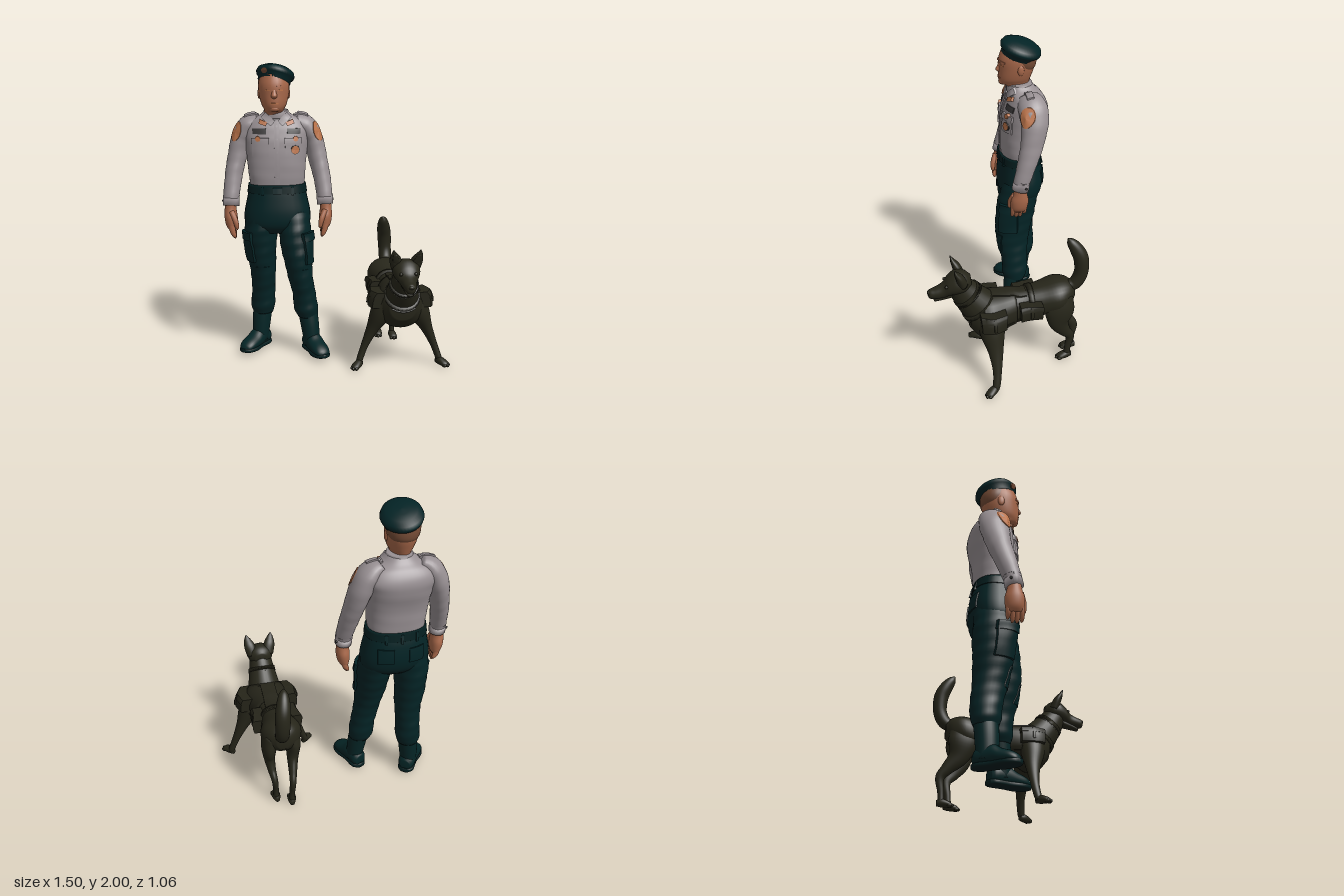
import * as THREE from 'three';

const V = (x, y, z) => new THREE.Vector3(x, y, z);
const UP = V(0, 1, 0), DOWN = V(0, -1, 0), Z = V(0, 0, 1);
const mat = (name, color) => Object.assign(new THREE.MeshStandardMaterial({ color }), { name });

// Smooth skin through elliptical sections [x, y, z, halfWidth, halfDepth]; dir must follow the path
function loft(sections, { p = 2, dir = null, n = 28, steps = 5, wrinkle = 0 } = {}) {
  const path = new THREE.CatmullRomCurve3(sections.map(s => V(s[0], s[1], s[2])), false, 'catmullrom', 0.5);
  const size = new THREE.CatmullRomCurve3(sections.map(s => V(s[3], s[4] ?? s[3], 0)), false, 'catmullrom', 0.5);
  const rows = (sections.length - 1) * steps, pos = [], idx = [];
  const pw = v => Math.sign(v) * Math.abs(v) ** (2 / p);
  for (let i = 0; i <= rows; i++) {
    const c = path.getPoint(i / rows), r = size.getPoint(i / rows);
    const t = dir ?? path.getTangent(i / rows);
    const u = V(1, 0, 0).addScaledVector(t, -t.x).normalize(), v = t.clone().cross(u);
    for (let j = 0; j < n; j++) {
      const a = (j / n) * Math.PI * 2;
      const k = 1 + wrinkle * Math.sin(c.y * 55 + a * 2) * Math.cos(c.y * 23 - a);
      const q = c.clone().addScaledVector(u, pw(Math.cos(a)) * Math.max(r.x, 0.002) * k)
        .addScaledVector(v, pw(Math.sin(a)) * Math.max(r.y, 0.002) * k);
      pos.push(q.x, q.y, q.z);
      if (i < rows) {
        const A = i * n + j, B = i * n + (j + 1) % n;
        idx.push(A, B, B + n, A, B + n, A + n);
      }
    }
  }
  const end = (rows + 1) * n;
  for (const t of [0, 1]) pos.push(...path.getPoint(t).toArray());
  for (let j = 0; j < n; j++) {
    const k = (j + 1) % n;
    idx.push(end, k, j, end + 1, rows * n + j, rows * n + k);
  }
  const g = new THREE.BufferGeometry();
  g.setAttribute('position', new THREE.Float32BufferAttribute(pos, 3));
  g.setIndex(idx);
  g.computeVertexNormals();
  return g;
}

// Bends a flat-backed geometry (facing +z) onto the surface of other meshes
function wrap(targets, geo, origin, rx = 0, ry = 0, rz = 0) {
  const q = new THREE.Quaternion().setFromEuler(new THREE.Euler(rx, ry, 0, 'YXZ'));
  const fwd = V(0, 0, 1).applyQuaternion(q), ray = new THREE.Raycaster();
  const p = geo.rotateZ(rz).attributes.position;
  for (let i = 0; i < p.count; i++) {
    const base = V(p.getX(i), p.getY(i), 0).applyQuaternion(q).add(origin);
    ray.set(base.clone().addScaledVector(fwd, 0.6), fwd.clone().negate());
    const hit = ray.intersectObjects(targets)[0];
    const w = (hit ? hit.point : base).clone().addScaledVector(fwd, p.getZ(i));
    p.setXYZ(i, w.x, w.y, w.z);
  }
  geo.computeVertexNormals();
  return geo;
}
const plate = (w, h, d) => new THREE.BoxGeometry(w, h, d, 6, 6, 1).translate(0, 0, d / 2 - 0.004);
const disc = (r, d) => new THREE.CylinderGeometry(r, r, d, 20).rotateX(Math.PI / 2).translate(0, 0, d / 2 - 0.003);
const ball = (r, x, y, z, sx = 1, sy = 1, sz = 1) => new THREE.SphereGeometry(r, 16, 12).scale(sx, sy, sz).translate(x, y, z);

export function createModel() {
  const root = new THREE.Group();
  const shirt = mat('shirt grey', 0x989093), skin = mat('skin', 0xa8684a), patch = mat('patch orange', 0xbc744a),
    green = mat('trouser green', 0x032325), boot = mat('boot green', 0x042526), dark = mat('belt green', 0x031e1f),
    hair = mat('hair brown', 0x774d37), ribbon = mat('ribbon grey', 0x3c3a3a),
    fur = mat('dog olive', 0x27261a), gear = mat('harness olive', 0x252419);
  const man = new THREE.Group(), dog = new THREE.Group();
  man.name = 'handler'; dog.name = 'dog';
  root.add(man, dog);
  let group = man;
  const add = (name, geo, material) => {
    const m = new THREE.Mesh(geo, material);
    m.name = name;
    group.add(m);
    return m;
  };
  const X = -0.385, H = -0.398;

  // Head and neck
  const head = add('head', loft([[H, 1.6, -.24, .07, .075], [H, 1.67, -.225, .069, .075], [H, 1.695, -.205, .066, .098],
    [H, 1.73, -.205, .083, .11], [H, 1.79, -.215, .098, .12], [H, 1.86, -.22, .103, .123], [H, 1.93, -.225, .088, .105]], { dir: UP }), skin);
  add('hair', loft([[H, 1.785, -.26, .075, .07], [H, 1.81, -.255, .094, .09], [H, 1.85, -.25, .104, .1], [H, 1.9, -.245, .1, .1]], { dir: UP }), hair);
  add('nose', loft([[H, 1.845, -.112, .012, .01], [H, 1.81, -.103, .016, .016], [H, 1.787, -.096, .02, .019], [H, 1.77, -.106, .014, .01]], { dir: DOWN }), skin);
  add('mouth', wrap([head], plate(.056, .009, .007), V(H, 1.738, -.2)), patch);
  add('chin', ball(.028, H, 1.705, -.122, 1.2, .8, .9), skin);
  for (const s of [-1, 1]) {
    add('ear', ball(.032, H + s * .097, 1.8, -.225, .35, 1.1, .7), skin);
    add('brow', wrap([head], plate(.05, .012, .01), V(H + s * .043, 1.848, -.2), 0, 0, -s * .1), skin);
    add('eye', wrap([head], plate(.034, .009, .006), V(H + s * .042, 1.824, -.2)), patch);
  }

  // Beret, tipped back and to one side
  const beretGeo = new THREE.LatheGeometry([[0, -.035], [.1, -.045], [.109, -.04], [.109, -.02], [.124, -.005], [.129, .012], [.12, .035], [.09, .053], [.045, .062], [0, .064]]
    .map(([r, y]) => new THREE.Vector2(r, y)), 40).scale(1, 1, 1.1).rotateX(-.3).rotateZ(-.2).translate(X - .003, 1.914, -.24);
  const beret = add('beret', beretGeo, green);
  add('beretBadge', wrap([beret], disc(.019, .01), V(X - .075, 1.952, -.24)), hair);

  // Shirt body and collar
  const torso = add('shirtBody', loft([[X, 1.17, -.24, .182, .128], [X, 1.25, -.24, .19, .135], [X, 1.36, -.245, .2, .14], [X, 1.48, -.264, .214, .15],
    [X, 1.56, -.276, .225, .141], [X, 1.62, -.27, .19, .115], [X, 1.655, -.255, .115, .093], [X, 1.685, -.24, .08, .082]], { dir: UP, p: 2.4, n: 40, wrinkle: .008 }), shirt);
  add('collarBand', loft([[X, 1.635, -.25, .11, .1], [X, 1.665, -.242, .092, .092], [X, 1.695, -.238, .079, .083]], { dir: UP }), shirt);
  add('placket', wrap([torso], plate(.035, .42, .009), V(X, 1.41, -.25)), shirt);
  for (let i = 0; i < 5; i++) add('shirtButton', wrap([torso], disc(.007, .011), V(X, 1.25 + i * .085, -.25)), shirt);

  for (const s of [-1, 1]) {
    // Collar flaps, pockets, ribbons and badges
    const at = (dx, y) => V(X + s * dx, y, -.25);
    add('collarFlap', wrap([torso], plate(.085, .045, .016), at(.055, 1.635), 0, 0, s * .75), shirt);
    add('collarTab', wrap([torso], plate(.052, .028, .021), at(.09, 1.612), 0, 0, s * .35), patch);
    add('chestPocket', wrap([torso], plate(.11, .11, .012), at(.11, 1.445)), shirt);
    add('pocketFlap', wrap([torso], plate(.118, .038, .018), at(.11, 1.494)), shirt);
    add('ribbonBar', wrap([torso], plate(.09, .036, .01), at(.115, 1.556)), ribbon);
    add('badge', wrap([torso], disc(.017, .023), at(.125, 1.508)), patch);

    // Sleeve
    const A = X + .005;
    const arm = add('sleeve', loft([[A + s * .12, 1.63, -.268, .045, .075], [A + s * .192, 1.585, -.278, .07, .097], [A + s * .243, 1.49, -.284, .07, .092],
      [A + s * .275, 1.36, -.26, .064, .077], [A + s * .298, 1.25, -.228, .059, .067], [A + s * .315, 1.12, -.187, .054, .056], [A + s * .318, 1.06, -.175, .052, .054]], { wrinkle: .025 }), shirt);
    add('cuff', loft([[A + s * .315, 1.125, -.188, .056, .057], [A + s * .318, 1.055, -.174, .055, .057]], { steps: 2 }), shirt);
    add('cuffButton', wrap([arm], disc(.008, .014), V(A + s * .317, 1.085, -.18), 0, s * 2), ribbon);
    add('sleevePatch', wrap([arm], disc(.041, .01).scale(1, 1.6, 1), V(A + s * .245, 1.55, -.28), 0, s * .45, s * .25), patch);
    add('epaulette', wrap([arm, torso], plate(.1, .045, .014), V(X + s * .165, 1.6, -.262), -Math.PI / 2), shirt);
    add('epauletteButton', ball(.011, X + s * .135, 1.662, -.26), shirt);

    // Hand
    add('hand', loft([[A + s * .318, 1.09, -.175, .038, .038], [A + s * .322, 1.03, -.175, .04, .046], [A + s * .32, .98, -.173, .044, .06],
      [A + s * .315, .93, -.17, .04, .058], [A + s * .308, .895, -.168, .026, .052]]), skin);
    for (let f = 0; f < 4; f++) {
      const z = -.21 + f * .027, drop = f === 0 ? .02 : f === 3 ? .008 : 0;
      add('finger', loft([[A + s * .318, .95, z, .022, .016], [A + s * .311, .895, z + .002, .02, .0155], [A + s * .298, .85 + drop, z + .002, .014, .013], [A + s * .29, .834 + drop, z, .004]], { n: 12 }), skin);
    }
    add('thumb', loft([[A + s * .315, 1.02, -.14, .02, .022], [A + s * .29, .965, -.115, .018], [A + s * .28, .92, -.112, .014], [A + s * .278, .902, -.113, .004]], { n: 12 }), skin);
  }
  add('medal', wrap([torso], disc(.026, .02), V(X + .122, 1.435, -.25)), patch);
  add('medalRim', wrap([torso], disc(.03, .017), V(X + .122, 1.435, -.25)), ribbon);

  // Trousers
  const hips = add('trouserHips', loft([[X, 1.19, -.24, .187, .133], [X, 1.1, -.245, .205, .148], [X, 1.0, -.245, .225, .155], [X, .92, -.24, .22, .142], [X, .865, -.235, .17, .1]], { dir: DOWN, p: 2.3 }), green);
  add('belt', loft([[X, 1.14, -.242, .203, .147], [X, 1.198, -.24, .195, .141]], { dir: UP, p: 2.3, n: 40 }), dark);
  add('buckle', wrap([hips], plate(.06, .05, .018), V(X, 1.168, -.24)), green);
  for (const [dx, ry] of [[-.1, 0], [.1, 0], [-.1, Math.PI], [0, Math.PI], [.1, Math.PI]])
    add('beltLoop', wrap([hips], plate(.016, .07, .017), V(X + dx, 1.165, -.24), 0, ry), green);
  const legs = [
    { s: 1, ankle: V(-.158, 0, -.15), yaw: .37, path: [[-.275, 1.02, -.24, .1, .13], [-.268, .86, -.205, .112, .14], [-.255, .7, -.178, .1, .132],
      [-.235, .55, -.168, .086, .11], [-.21, .42, -.176, .08, .094], [-.197, .32, -.176, .084, .09], [-.188, .265, -.172, .07, .074]] },
    { s: -1, ankle: V(-.52, 0, -.285), yaw: -.62, path: [[-.495, 1.02, -.245, .1, .13], [-.503, .86, -.25, .112, .137], [-.5, .7, -.26, .1, .124],
      [-.49, .55, -.272, .086, .106], [-.492, .42, -.29, .081, .096], [-.495, .32, -.296, .084, .09], [-.498, .265, -.295, .07, .074]] }];
  for (const { s, ankle, yaw, path } of legs) {
    const leg = add('trouserLeg', loft(path, { dir: DOWN, wrinkle: .03, steps: 8 }), green);
    const [px, , pz] = path[2];
    add('cargoPocket', wrap([leg], plate(.13, .2, .02), V(px, .76, pz), 0, s * .95), green);
    add('cargoFlap', wrap([leg], plate(.138, .055, .027), V(px, .845, pz), 0, s * .95), green);
    add('kneePanel', wrap([leg], plate(.1, .13, .01), V(path[3][0], .56, path[3][2])), green);
    add('seatPocket', wrap([hips], plate(.1, .1, .012), V(X + s * .1, 1.04, -.24), 0, Math.PI), green);

    // Boot
    const place = g => g.rotateY(yaw).translate(ankle.x, 0, ankle.z);
    add('bootShaft', loft([[path[6][0], .3, path[6][2], .068, .072], [(path[6][0] + ankle.x) / 2, .2, (path[6][2] + ankle.z) / 2, .064, .07], [ankle.x, .06, ankle.z, .054, .062]], { dir: DOWN }), boot);
    add('bootFoot', place(loft([[0, .07, -.08, .035, .04], [0, .08, -.05, .055, .06], [0, .085, .03, .058, .068], [0, .07, .09, .06, .052], [0, .06, .15, .057, .04], [0, .05, .185, .042, .028], [0, .045, .2, .015, .012]], { dir: Z })), boot);
    add('bootSole', place(loft([[0, .032, -.088, .03, .016], [0, .032, -.05, .056, .017], [0, .032, .04, .054, .017], [0, .032, .12, .065, .017], [0, .034, .18, .05, .016], [0, .036, .207, .016, .012]], { dir: Z, p: 3.5 })), dark);
  }

  // Dog body, neck and head
  group = dog;
  const D = .41;
  const body = add('dogBody', loft([[.39, .52, -.435, .04, .05], [.385, .515, -.39, .1, .095], [.385, .505, -.31, .134, .115], [.387, .485, -.2, .112, .11], [.39, .465, -.08, .098, .108],
    [.4, .452, .04, .123, .122], [D, .432, .14, .15, .152], [D, .435, .21, .138, .138], [D, .455, .27, .085, .09]], { dir: Z, p: 2.2 }), fur);
  add('dogNeck', loft([[D, .45, .14, .12, .13], [D, .535, .22, .107, .115], [D, .62, .285, .087, .095], [D, .69, .33, .074, .075]]), fur);
  add('dogHead', loft([[D, .715, .255, .04, .04], [D, .715, .295, .08, .07], [D, .715, .345, .088, .076], [D, .695, .395, .07, .064], [D, .665, .43, .049, .05], [D, .65, .48, .039, .038], [D, .645, .515, .028, .03], [D, .645, .527, .01, .012]], { dir: Z }), fur);
  add('lowerJaw', loft([[D, .64, .37, .042, .03], [D, .617, .44, .032, .02], [D, .598, .49, .02, .01]]), fur);
  add('dogNose', ball(.018, D, .658, .518, 1, .75, .8), gear);
  add('tail', loft([[.4, .565, -.38, .036], [.4, .585, -.44, .044], [.4, .66, -.476, .046], [.395, .76, -.474, .049], [.385, .83, -.445, .045], [.375, .885, -.407, .03], [.37, .912, -.388, .006]]), fur);
  const paw = (x, z, yaw) => {
    add('paw', loft([[0, .026, -.035, .016, .02], [0, .028, 0, .027, .028], [0, .02, .045, .028, .02], [0, .014, .065, .014, .012]], { dir: Z }).rotateY(yaw).translate(x, 0, z), fur);
    for (const t of [-1, 0, 1]) add('toe', ball(.013, t * .018, .013, .06 - Math.abs(t) * .01, .8, 1, 1.4).rotateY(yaw).translate(x, 0, z), fur);
  };

  // Harness saddle, chest strap, collar and belly strap
  const vest = add('harness', loft([[.395, .462, -.03, .114, .122], [.4, .454, .04, .134, .132], [D, .437, .13, .157, .157], [D, .44, .19, .149, .148]], { dir: Z, p: 2.2 }), gear);
  add('bellyStrap', loft([[.388, .475, -.15, .111, .117], [.389, .472, -.115, .109, .117]], { dir: Z, p: 2.2, steps: 2 }), gear);
  add('dogCollar', loft([[D, .6, .268, .096, .105], [D, .625, .288, .092, .1]], { steps: 2 }), gear);
  add('chestStrap', loft([[D, .5, .195, .122, .128], [D, .53, .218, .115, .122]], { steps: 2 }), gear);
  add('backPanel', wrap([vest, body], plate(.1, .27, .012), V(D - .012, .45, .03), -Math.PI / 2), gear);

  for (const s of [-1, 1]) {
    const side = s * Math.PI / 2;
    // Saddle bags
    for (const [z, w, d, x] of [[.135, .16, .064, D], [-.12, .14, .06, .39]]) {
      add('pouch', wrap([vest, body], plate(w, .1, d), V(x, .48, z), 0, side), gear);
      add('pouchFlap', wrap([vest, body], plate(w + .006, .035, d + .006), V(x, .515, z), 0, side), gear);
      add('pouchStrap', wrap([vest, body], plate(.018, .085, d + .009), V(x, .49, z), 0, side), fur);
    }
    add('sideStrap', wrap([vest, body], plate(.3, .025, .012), V(.4, .4, .02), 0, side), gear);

    // Ears and eyes
    add('dogEar', loft([[D + s * .052, .725, .312, .04, .033], [D + s * .069, .785, .332, .038, .026], [D + s * .08, .825, .354, .023, .013], [D + s * .086, .857, .367, .003]]), fur);
    add('innerEar', loft([[D + s * .055, .762, .345, .021, .008], [D + s * .07, .79, .355, .021, .006], [D + s * .079, .825, .365, .01, .004]]), gear);
    add('dogEye', ball(.011, D + s * .047, .714, .414), gear);

    // Splayed front leg
    add('frontLeg', loft([[D + s * .085, .48, .14, .075, .092], [D + s * .13, .375, .14, .07, .08], [D + s * .182, .265, .13, .041, .05],
      [D + s * .232, .15, .13, .025, .03], [D + s * .265, .06, .14, .022, .025], [D + s * .275, .025, .15, .02, .022]]), fur);
    paw(D + s * .278, .16, s * .65);

    // Hind leg
    const o = s * .027;
    add('hindLeg', loft([[.39 + s * .06, .53, -.32, .055, .09], [.392 + s * .08, .43, -.32, .05, .1], [.397 + s * .076, .33, -.335 + o / 2, .038, .068],
      [.4 + s * .066, .25, -.39 + o, .027, .042], [.4 + s * .056, .19, -.435 + o, .021, .03], [.4 + s * .05, .1, -.425 + o, .019, .022], [.4 + s * .048, .025, -.42 + o, .02, .022]]), fur);
    paw(.4 + s * .048, -.415 + o, s * .1);
  }
  return root;
}
